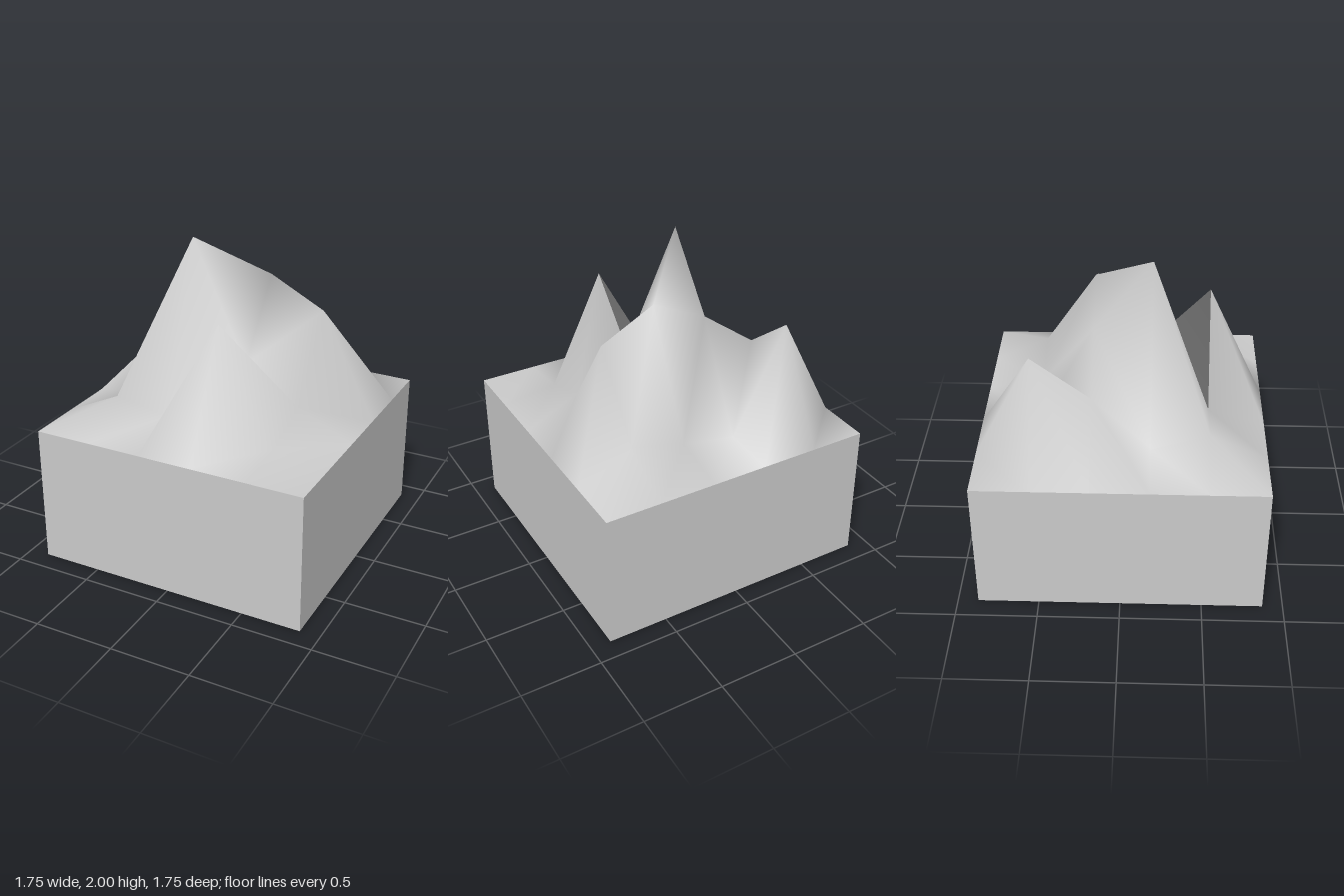
import * as THREE from 'three';

const SIZE = 1.75, BASE = 0.875, SEGMENTS = 5;

// Inner ground heights: rows run from back to front, columns from -x to +x.
const HEIGHTS = [
  [1.56, 0.89, 0.95, 1.04],
  [1.29, 1.55, 1.72, 1.54],
  [0.93, 2.00, 1.26, 1.04],
  [1.04, 0.98, 1.63, 0.92],
];

export function createModel() {
  const group = new THREE.Group();
  group.name = 'mountainBlock';

  // Block whose top face is a grid; its rim stays level while the inner points rise.
  const geometry = new THREE.BoxGeometry(SIZE, BASE, SIZE, SEGMENTS, 1, SEGMENTS);
  geometry.translate(0, BASE / 2, 0);
  const { position, normal } = geometry.attributes;
  const cell = (v) => Math.round((v / SIZE + 0.5) * SEGMENTS) - 1;
  for (let i = 0; i < position.count; i++) {
    if (normal.getY(i) < 0.5) continue;
    const height = HEIGHTS[cell(position.getZ(i))]?.[cell(position.getX(i))];
    if (height !== undefined) position.setY(i, height);
  }
  // The faces share no vertices, so the terrain turns smooth and the block edges stay sharp.
  geometry.computeVertexNormals();

  const terrain = new THREE.Mesh(geometry, new THREE.MeshStandardMaterial({ color: 0xcccccc }));
  terrain.name = 'terrainBlock';
  group.add(terrain);
  return group;
}
